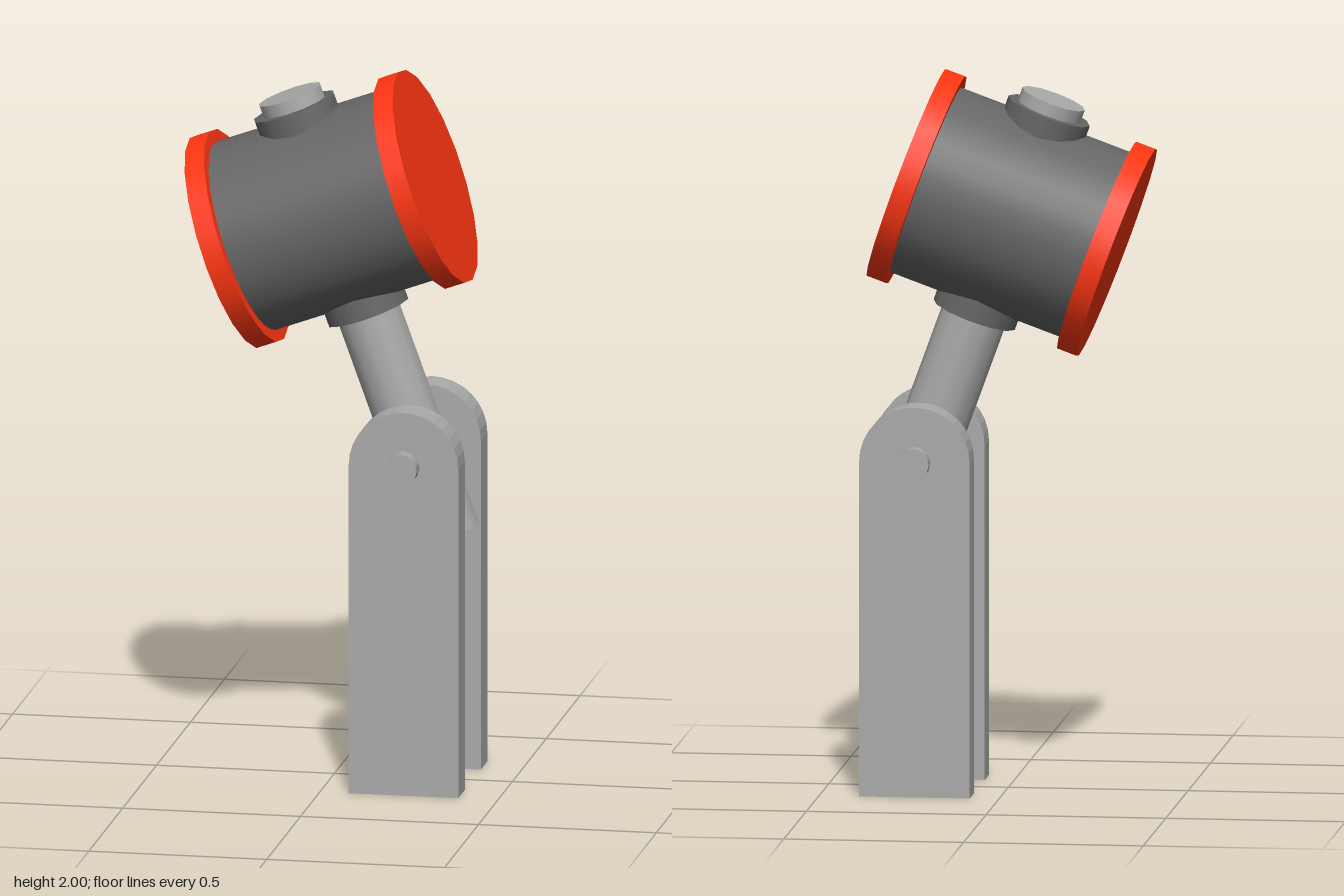
import * as THREE from 'three';

const material = (color, flatShading = false) =>
  new THREE.MeshStandardMaterial({ color, flatShading, side: THREE.DoubleSide });

const PIVOT = { x: 0.235, y: 0.935 };
const TILT = THREE.MathUtils.degToRad(20);

function addCylinder(parent, name, radius, length, sides, mat) {
  const mesh = new THREE.Mesh(new THREE.CylinderGeometry(radius, radius, length, sides), mat);
  mesh.name = name;
  parent.add(mesh);
  return mesh;
}

// Round-topped post, open underneath
function postGeometry(halfWidth, thickness) {
  const shape = new THREE.Shape();
  shape.moveTo(-halfWidth, -PIVOT.y);
  shape.lineTo(halfWidth, -PIVOT.y);
  shape.absarc(0, 0, halfWidth, 0, Math.PI, false);
  const full = new THREE.ExtrudeGeometry(shape, {
    depth: thickness, bevelEnabled: false, curveSegments: 8,
  }).translate(PIVOT.x, PIVOT.y, -thickness / 2);

  // Keep every triangle except those lying on the ground
  const source = full.getAttribute('position');
  const kept = [];
  for (let i = 0; i < source.count; i += 3) {
    const corners = [i, i + 1, i + 2];
    if (corners.every((c) => Math.abs(source.getY(c)) < 1e-5)) continue;
    for (const c of corners) kept.push(source.getX(c), source.getY(c), source.getZ(c));
  }
  const open = new THREE.BufferGeometry();
  open.setAttribute('position', new THREE.Float32BufferAttribute(kept, 3));
  open.computeVertexNormals();
  return open;
}

export function createModel() {
  const model = new THREE.Group();
  model.name = 'hammerOnStand';
  const steel = material(0xaaaaaa);
  const flatSteel = material(0xaaaaaa, true);
  const dark = material(0x666666);
  const red = material(0xff3612);

  // Stand: two posts with a pivot pin through them
  const post = postGeometry(0.154, 0.096);
  for (const side of [-1, 1]) {
    const mesh = new THREE.Mesh(post, flatSteel);
    mesh.name = side > 0 ? 'frontPost' : 'backPost';
    mesh.position.z = side * 0.167;
    model.add(mesh);
  }
  const pin = addCylinder(model, 'pivotPin', 0.045, 0.51, 12, steel);
  pin.rotation.x = Math.PI / 2;
  pin.position.set(PIVOT.x, PIVOT.y, 0);

  // Hammer swings about the pin
  const hammer = new THREE.Group();
  hammer.name = 'hammer';
  hammer.position.set(PIVOT.x, PIVOT.y, 0);
  hammer.rotation.z = TILT;
  model.add(hammer);

  // Handle runs right through the head
  const bottom = -0.25, top = 1.055;
  addCylinder(hammer, 'handle', 0.092, top - bottom, 12, steel).position.y = (top + bottom) / 2;

  // Head: drum, collar and two striking plates
  const head = new THREE.Group();
  head.name = 'head';
  head.position.y = 0.714;
  hammer.add(head);
  addCylinder(head, 'drum', 0.273, 0.54, 32, dark).rotation.z = Math.PI / 2;
  addCylinder(head, 'collar', 0.12, 0.61, 12, dark);
  for (const side of [-1, 1]) {
    const plate = addCylinder(head, side > 0 ? 'leftPlate' : 'rightPlate', 0.308, 0.058, 20, red);
    plate.rotation.z = Math.PI / 2;
    plate.position.x = side * 0.282;
  }
  return model;
}
